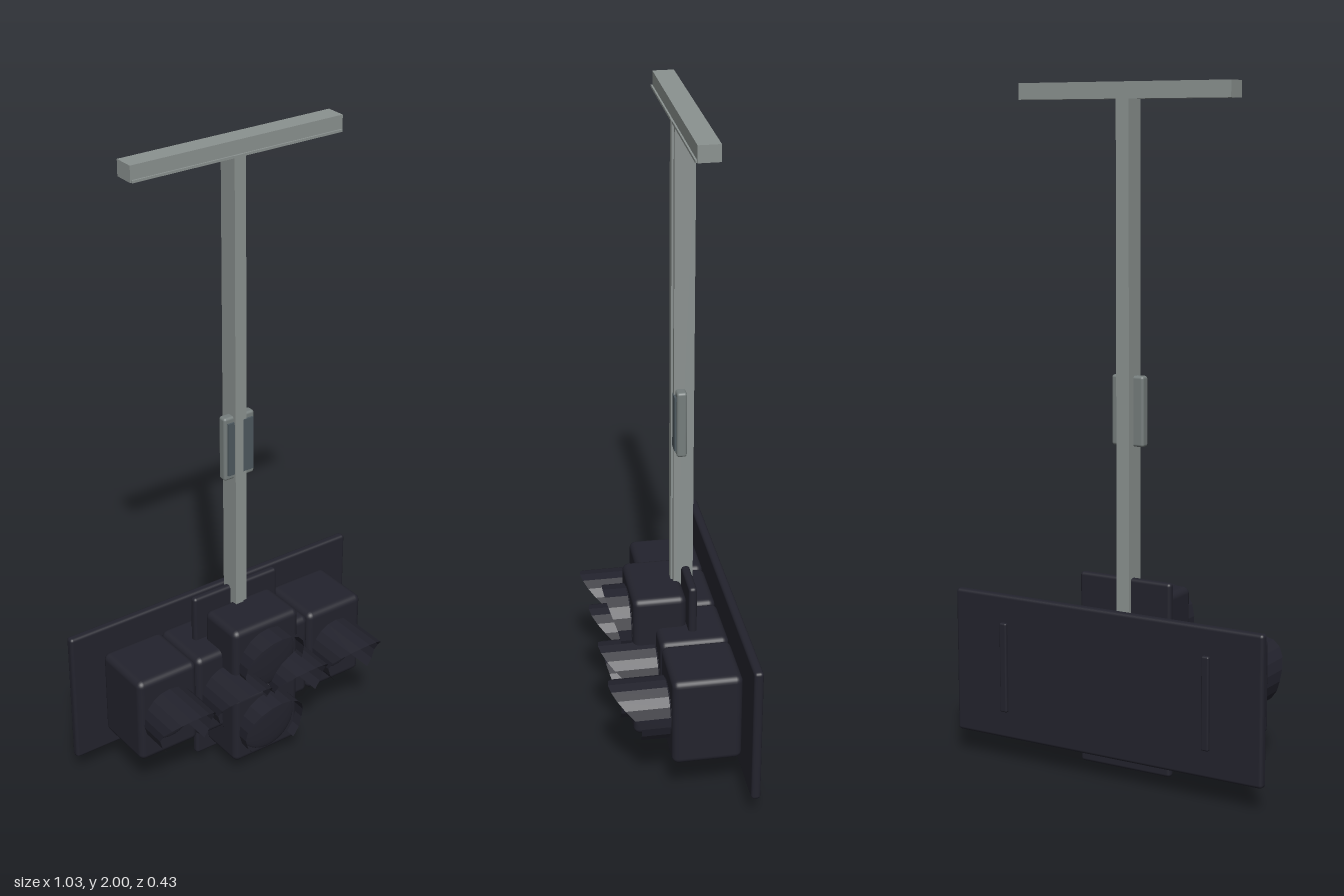
import * as THREE from 'three';
import { RoundedBoxGeometry } from 'three/addons/geometries/RoundedBoxGeometry.js';

const mat = (name, color, extra = {}) => {
  const m = new THREE.MeshStandardMaterial({ color, ...extra });
  m.name = name;
  return m;
};

export function createModel() {
  const group = new THREE.Group();
  const black = mat('black housing', 0x23232d);
  const hood = mat('black visor', 0x22222c, { side: THREE.DoubleSide, flatShading: true });
  const steel = mat('galvanised steel', 0x8b9290);
  const clampSteel = mat('clamp steel', 0x757d7c);
  const clampBlue = mat('clamp blue grey', 0x4d585e);

  const add = (name, geo, m, parent = group) => {
    const mesh = new THREE.Mesh(geo, m);
    mesh.name = name;
    parent.add(mesh);
    return mesh;
  };
  // rounded or sharp box given by its limits on each axis
  const box = (name, m, [x0, x1], [y0, y1], [z0, z1], r = 0, parent = group) => {
    const s = [x1 - x0, y1 - y0, z1 - z0];
    const geo = r ? new RoundedBoxGeometry(...s, 3, r) : new THREE.BoxGeometry(...s);
    add(name, geo, m, parent).position.set((x0 + x1) / 2, (y0 + y1) / 2, (z0 + z1) / 2);
  };

  // hanging pole with a stepped front, and the crossbar on top
  const profile = new THREE.Shape([
    [-0.022, 0.09], [-0.022, 0.025], [0.006, 0.025], [0.006, 0.031], [0.02, 0.031], [0.02, 0.09],
  ].map(([x, y]) => new THREE.Vector2(x, -y)));
  const poleGeo = new THREE.ExtrudeGeometry(profile, { depth: 1.66, bevelEnabled: false });
  poleGeo.rotateX(-Math.PI / 2).scale(1, 1, -1);
  // the mirror flips the winding, so swap two corners of every triangle
  const pa = poleGeo.attributes.position;
  for (let i = 0; i < pa.count; i += 3) {
    const a = new THREE.Vector3().fromBufferAttribute(pa, i);
    const b = new THREE.Vector3().fromBufferAttribute(pa, i + 1);
    pa.setXYZ(i, b.x, b.y, b.z);
    pa.setXYZ(i + 1, a.x, a.y, a.z);
  }
  poleGeo.computeVertexNormals();
  add('pole', poleGeo, steel).position.y = 0.3;
  box('crossbar', steel, [-0.345, 0.345], [1.953, 2], [-0.093, -0.031]);
  box('crossbarLip', steel, [-0.342, 0.342], [1.953, 1.96], [-0.031, -0.026]);

  // pole clamp
  box('clampBody', clampSteel, [-0.054, 0.052], [0.97, 1.175], [-0.065, -0.035], 0.008);
  box('clampFace', clampBlue, [-0.044, 0.044], [0.988, 1.158], [-0.05, -0.029]);

  // back panel with two mounting strips, and the upright plate
  box('backPanel', black, [-0.515, 0.515], [0.077, 0.515], [-0.203, -0.175], 0.01);
  for (const x of [-0.34, 0.34])
    box('panelStrip', black, [x - 0.012, x + 0.012], [0.16, 0.432], [-0.214, -0.195], 0.005);
  box('uprightPlate', black, [-0.153, 0.153], [0.005, 0.585], [-0.08, -0.055], 0.01);

  // hood: open tube whose front is cut on a slope above the axis
  function visor(r, base, tip, side) {
    const geo = new THREE.CylinderGeometry(r, r, 1, 14, 1, true, Math.PI / 4, Math.PI * 1.5);
    geo.rotateX(Math.PI / 2);
    const p = geo.attributes.position;
    for (let i = 0; i < p.count; i++) {
      const front = side + (tip - side) * Math.max(0, p.getY(i) / r);
      p.setZ(i, p.getZ(i) > 0 ? front : base);
    }
    geo.computeVertexNormals();
    return geo;
  }

  // one signal head: housing, lens and hood
  function signal(name, cx, y0, y1, w, z0, z1, cy, r, tip, side) {
    const head = new THREE.Group();
    head.name = name;
    group.add(head);
    box('housing', black, [cx - w, cx + w], [y0, y1], [z0, z1], 0.02, head);
    const lens = add('lens', new THREE.SphereGeometry(r * 0.94, 28, 8, 0, Math.PI * 2, 0, Math.PI / 2), black, head);
    lens.rotation.x = Math.PI / 2;
    lens.scale.y = 0.12;
    lens.position.set(cx, cy, z1 - 0.001);
    add('visor', visor(r, z1 + 0.004, tip, side), hood, head).position.set(cx, cy, 0);
  }
  for (const x of [-0.312, -0.105, 0.105, 0.312])
    signal('sideSignal', x, 0.153, 0.437, 0.103, -0.167, 0.039, 0.293, 0.092, 0.212, 0.127);
  signal('upperSignal', 0, 0.297, 0.536, 0.119, -0.055, 0.106, 0.408, 0.107, 0.182, 0.143);
  signal('lowerSignal', 0, 0.055, 0.297, 0.119, -0.055, 0.106, 0.172, 0.107, 0.182, 0.143);

  return group;
}
